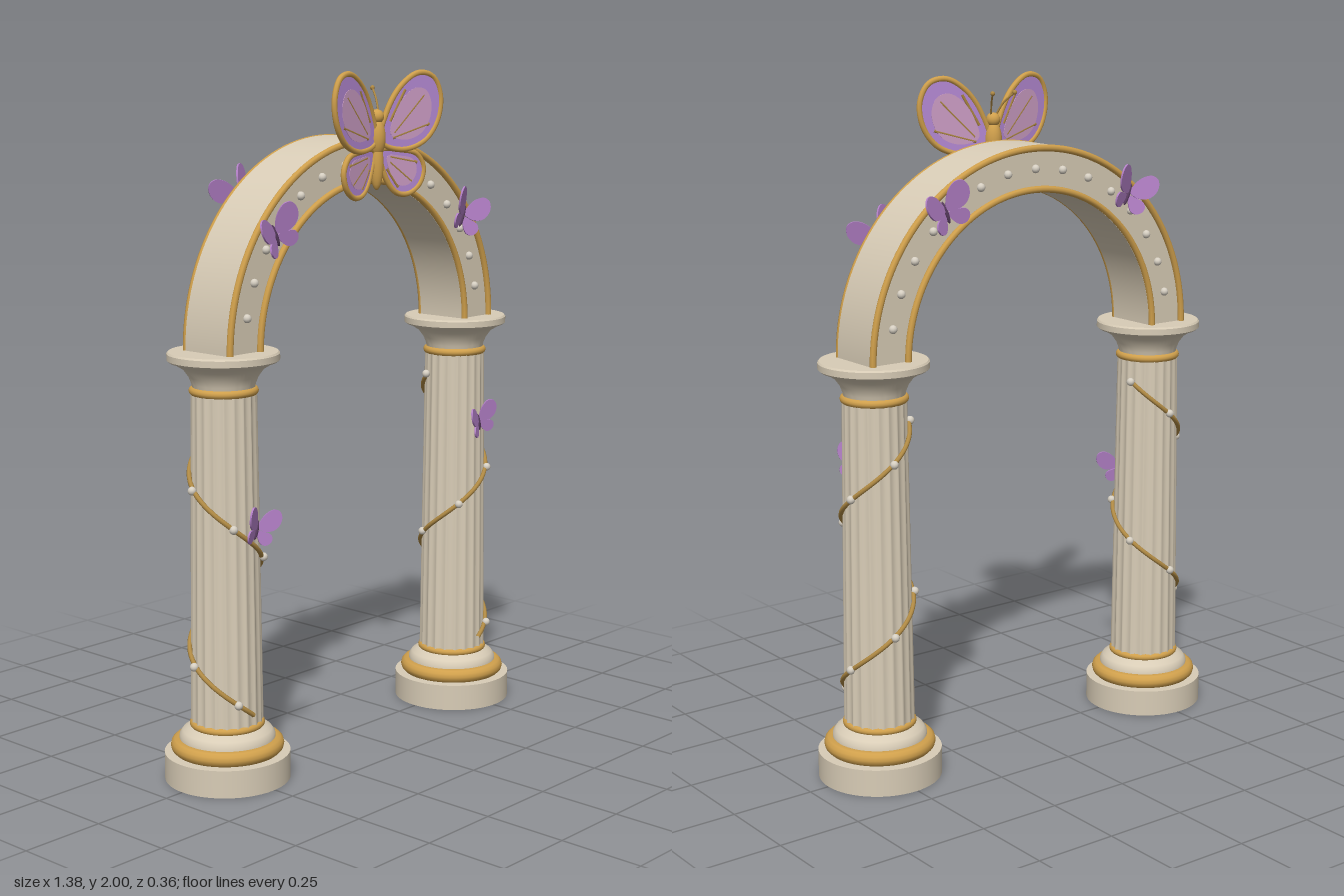
import * as THREE from 'three';
import { toCreasedNormals } from 'three/addons/utils/BufferGeometryUtils.js';

const mat = (name, color) => {
  const m = new THREE.MeshStandardMaterial({ color });
  m.name = name;
  return m;
};

export function createModel() {
  const stone = mat('warm stone', 0xd8ccb6);
  const gold = mat('gold', 0xd0a04c);
  const bronze = mat('antique gold', 0xb08a44);
  const pearl = mat('pearl', 0xd6cfc2);
  const lilac = mat('lilac', 0xb88cd8);
  const pink = mat('pink', 0xd0a0c8);
  const violet = mat('violet', 0xb27fc6);
  const plum = mat('plum', 0x5c3f63);

  const root = new THREE.Group();
  root.name = 'butterflyArch';
  const V3 = (x, y, z = 0) => new THREE.Vector3(x, y, z);
  const add = (parent, name, geo, material, x = 0, y = 0, z = 0) => {
    const m = new THREE.Mesh(geo, material);
    m.name = name;
    m.position.set(x, y, z);
    parent.add(m);
    return m;
  };
  const group = (parent, name, x = 0, y = 0, z = 0) => {
    const g = new THREE.Group();
    g.name = name;
    g.position.set(x, y, z);
    parent.add(g);
    return g;
  };
  const lathe = (pts) => toCreasedNormals(
    new THREE.LatheGeometry(pts.map(([r, y]) => new THREE.Vector2(r, y)), 56), 0.6);
  const ring = (R, r) => new THREE.TorusGeometry(R, r, 12, 56).rotateX(Math.PI / 2);
  const stick = (a, b, r) => new THREE.TubeGeometry(new THREE.LineCurve3(a, b), 1, r, 6);
  const bead = new THREE.SphereGeometry(0.0125, 12, 8);

  // Fluted, slightly tapered shaft
  const flutedShaft = () => {
    const g = new THREE.CylinderGeometry(0.093, 0.104, 0.97, 160, 1, true);
    const p = g.attributes.position;
    for (let i = 0; i < p.count; i++) {
      const a = Math.atan2(p.getZ(i), p.getX(i));
      const k = 1 - 0.05 * Math.abs(Math.cos(a * 10));
      p.setX(i, p.getX(i) * k);
      p.setZ(i, p.getZ(i) * k);
    }
    g.computeVertexNormals();
    return g;
  };

  // Columns with a vine spiralling outwards from the front
  for (const s of [-1, 1]) {
    const col = group(root, s > 0 ? 'leftColumn' : 'rightColumn', s * 0.508);
    add(col, 'plinth', new THREE.CylinderGeometry(0.181, 0.181, 0.08, 56), stone, 0, 0.04);
    add(col, 'baseRing', ring(0.141, 0.022), gold, 0, 0.1);
    add(col, 'baseMoulding', lathe([[0.145, 0.08], [0.138, 0.12], [0.137, 0.132], [0.128, 0.144],
      [0.114, 0.152], [0.1, 0.158]]), stone);
    add(col, 'lowerCollar', ring(0.097, 0.011), gold, 0, 0.164);
    add(col, 'shaft', flutedShaft(), stone, 0, 0.645);
    add(col, 'upperCollar', ring(0.086, 0.012), gold, 0, 1.13);
    add(col, 'capital', lathe([[0.085, 1.12], [0.09, 1.15], [0.098, 1.17], [0.114, 1.192], [0.138, 1.207],
      [0.152, 1.212], [0.158, 1.217], [0.158, 1.235], [0.154, 1.24], [0, 1.24]]), stone);

    const vineAt = (t) => {
      const a = t * 1.7 * Math.PI * 2, r = 0.107 - 0.009 * t;
      return V3(s * Math.sin(a) * r, 0.207 + 0.853 * t, Math.cos(a) * r);
    };
    const path = new THREE.CatmullRomCurve3(Array.from({ length: 41 }, (_, i) => vineAt(i / 40)));
    add(col, 'vine', new THREE.TubeGeometry(path, 110, 0.007, 8), bronze);
    for (let k = 0; k < 9; k++) {
      const p = vineAt(0.045 + k * 0.119);
      add(col, 'vineBead', bead, pearl, p.x * 1.05, p.y, p.z * 1.05);
    }
  }

  // Arch
  const arch = group(root, 'arch', 0, 1.238);
  const band = new THREE.Shape();
  band.absarc(0, 0, 0.575, 0, Math.PI, false);
  band.absarc(0, 0, 0.44, Math.PI, 0, true);
  const bandGeo = new THREE.ExtrudeGeometry(band, { depth: 0.164, bevelEnabled: false, curveSegments: 64 });
  bandGeo.translate(0, 0, -0.082);
  add(arch, 'archBand', toCreasedNormals(bandGeo, 0.5), stone);
  for (const f of [-1, 1]) {
    for (const R of [0.567, 0.449])
      add(arch, 'archTrim', new THREE.TorusGeometry(R, 0.01, 8, 72, Math.PI), gold, 0, 0, f * 0.086);
    for (let k = 1; k < 16; k++) {
      const a = k * Math.PI / 16;
      add(arch, 'archPearl', bead, pearl, 0.508 * Math.cos(a), 0.508 * Math.sin(a), f * 0.085);
    }
  }

  // Wing outlines
  const upperPts = [[0.012, 0.02], [0.035, 0.105], [0.085, 0.175], [0.15, 0.212], [0.205, 0.2],
    [0.233, 0.145], [0.222, 0.075], [0.175, 0.018], [0.09, -0.006]];
  const lowerPts = [[0.015, -0.008], [0.09, -0.008], [0.15, -0.022], [0.175, -0.06], [0.163, -0.105],
    [0.122, -0.134], [0.075, -0.13], [0.035, -0.085]];
  const upperVeins = [[0.17, 0.148, 0.06, 0.042], [0.19, 0.065, 0.055, 0.028], [0.1, 0.165, 0.045, 0.075]];
  const lowerVeins = [[0.13, -0.1, 0.05, -0.042], [0.15, -0.045, 0.05, -0.026], [0.08, -0.115, 0.038, -0.06]];
  const outline = (pts, s, k = 1) => new THREE.CatmullRomCurve3(
    pts.map(([x, y]) => V3(s * x * k, y * k)), true, 'centripetal');
  const plate = (curve, depth) => new THREE.ExtrudeGeometry(
    new THREE.Shape(curve.getPoints(48).slice(0, -1).map((p) => new THREE.Vector2(p.x, p.y))),
    { depth, bevelEnabled: false }).translate(0, 0, -depth / 2);

  // Large crowning butterfly
  const big = group(root, 'largeButterfly', 0, 1.782, 0.118);
  const ball = new THREE.SphereGeometry(1, 20, 14);
  add(big, 'abdomen', ball, gold, 0, -0.045).scale.set(0.02, 0.075, 0.02);
  add(big, 'thorax', ball, gold, 0, 0.03).scale.set(0.026, 0.055, 0.026);
  add(big, 'head', ball, gold, 0, 0.09).scale.setScalar(0.021);
  for (const s of [-1, 1]) {
    const feeler = new THREE.CatmullRomCurve3([V3(s * 0.008, 0.1, 0), V3(s * 0.022, 0.14, -0.022), V3(s * 0.04, 0.17, -0.052)]);
    add(big, 'antenna', new THREE.TubeGeometry(feeler, 12, 0.003, 6), bronze);
    add(big, 'antennaTip', new THREE.SphereGeometry(0.007, 10, 8), bronze, s * 0.04, 0.17, -0.052);
    const wings = group(big, s > 0 ? 'leftWings' : 'rightWings');
    wings.rotation.y = -s * 0.19;
    for (const [name, pts, veins, cx, cy, z] of [
      ['upperWing', upperPts, upperVeins, 0.12, 0.08, 0.002],
      ['lowerWing', lowerPts, lowerVeins, 0.09, -0.06, -0.004]]) {
      const w = group(wings, name, 0, 0, z);
      const edge = outline(pts, s);
      add(w, 'membrane', plate(edge, 0.006), lilac);
      add(w, 'rim', new THREE.TubeGeometry(edge, 72, 0.0085, 8, true), gold);
      const inner = pts.map(([x, y]) => [cx + (x - cx) * 0.68, cy + (y - cy) * 0.68]);
      add(w, 'innerPatch', plate(outline(inner, s), 0.0085), pink);
      for (const [x1, y1, x2, y2] of veins)
        add(w, 'vein', stick(V3(s * x1, y1), V3(s * x2, y2), 0.0055), bronze);
    }
  }

  // Small butterflies
  const smallButterfly = (x, y, z, roll, k, back) => {
    const holder = group(root, 'smallButterfly', x, y, z);
    if (back) holder.rotation.y = Math.PI;
    const b = group(holder, 'tilt');
    b.rotation.z = roll;
    add(b, 'smallBody', ball, plum).scale.set(0.007, 0.034 * k / 0.36, 0.007);
    for (const s of [-1, 1]) {
      const w = group(b, 'smallWings');
      w.rotation.y = -s * 0.45;
      add(w, 'smallUpperWing', plate(outline(upperPts, s, k), 0.005), violet, 0, 0, 0.001);
      add(w, 'smallLowerWing', plate(outline(lowerPts, s, k), 0.005), violet, 0, 0, -0.002);
    }
  };
  smallButterfly(-0.405, 1.56, 0.105, 0.45, 0.36);
  smallButterfly(0.41, 1.56, 0.105, -0.4, 0.36);
  smallButterfly(-0.495, 0.745, 0.11, -0.25, 0.3);
  smallButterfly(0.497, 0.91, 0.108, 0.25, 0.29);
  smallButterfly(-0.33, 1.65, -0.105, -0.4, 0.36, true);
  smallButterfly(0.33, 1.65, -0.105, 0.4, 0.36, true);

  return root;
}
